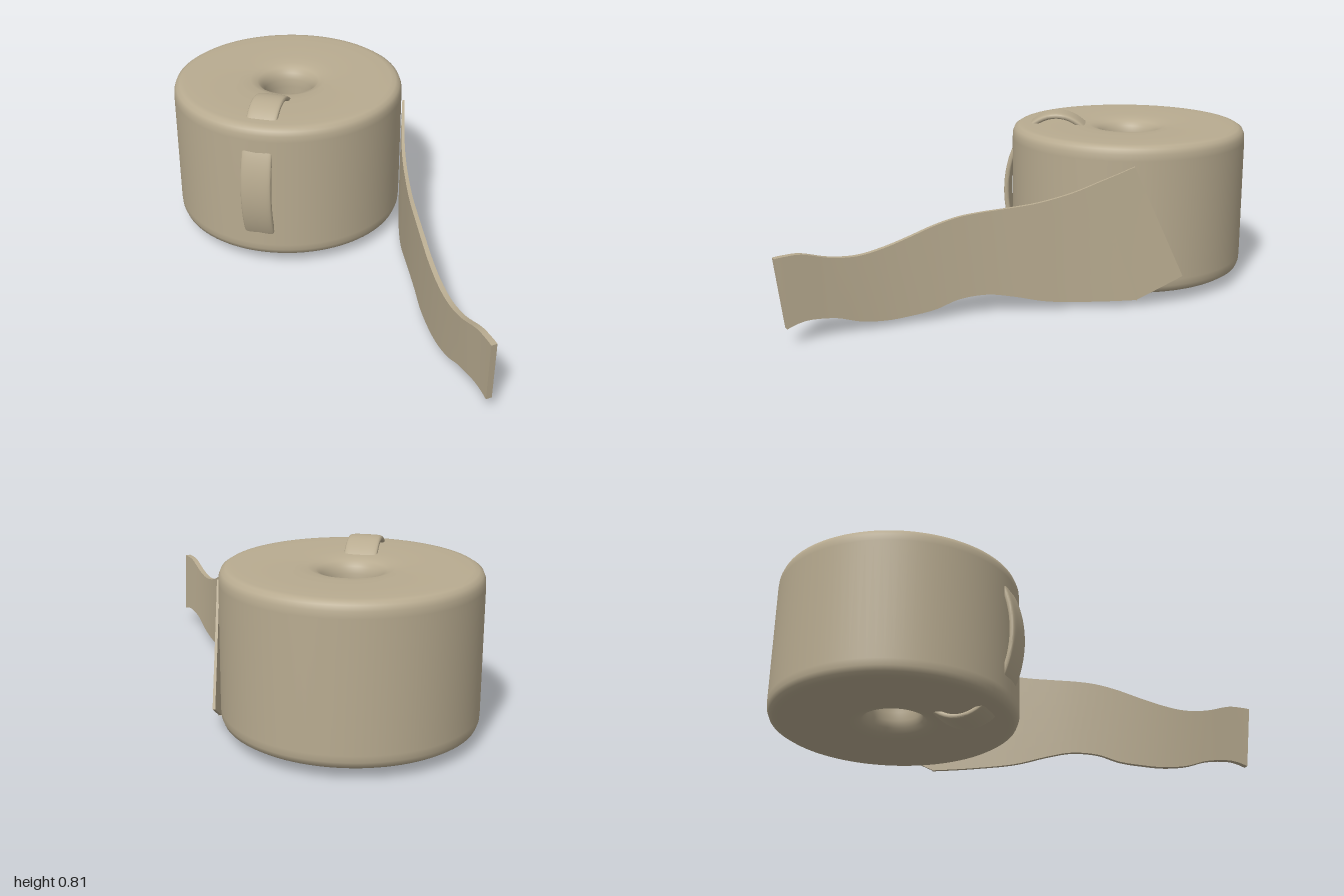
import * as THREE from 'three';
import { toCreasedNormals } from 'three/addons/utils/BufferGeometryUtils.js';

// Joins equal-length cross-section loops into a surface; open lofts get caps.
function loft(sections, closed) {
  const n = sections[0].length, m = sections.length;
  const index = [];
  const at = (i, j) => (i % m) * n + (j % n);
  for (let i = 0; i < (closed ? m : m - 1); i++) {
    for (let j = 0; j < n; j++) {
      const a = at(i, j), b = at(i + 1, j), c = at(i + 1, j + 1), d = at(i, j + 1);
      index.push(a, b, d, b, c, d);
    }
  }
  if (!closed) {
    for (let j = 0; j < n / 2 - 1; j++) {
      const k = n - 1 - j;
      index.push(at(0, j), at(0, j + 1), at(0, k), at(0, j + 1), at(0, k - 1), at(0, k));
      const e = m - 1;
      index.push(at(e, j), at(e, k), at(e, j + 1), at(e, j + 1), at(e, k), at(e, k - 1));
    }
  }
  const g = new THREE.BufferGeometry().setFromPoints(sections.flat());
  g.setIndex(index);
  return toCreasedNormals(g, 0.7);
}

export function createModel() {
  const group = new THREE.Group();
  const tan = new THREE.MeshStandardMaterial({ color: 0xb8ab90 });
  tan.name = 'tan';
  const add = (name, geometry) => {
    const mesh = new THREE.Mesh(geometry, tan);
    mesh.name = name;
    group.add(mesh);
    return mesh;
  };

  // Roll: softly rounded drum with a flared centre hole, mirrored top to bottom
  const upper = [
    [0.575, 0.285], [0.573, 0.315], [0.564, 0.338], [0.545, 0.35], [0.52, 0.354], [0.44, 0.355],
    [0.34, 0.353], [0.25, 0.35], [0.19, 0.344], [0.155, 0.333], [0.133, 0.312], [0.122, 0.28], [0.12, 0.24],
  ];
  const lower = upper.map(([r, y]) => [r, -y]).reverse();
  const profile = [[0.12, 0], ...lower, ...upper, [0.12, 0]].map(([r, y]) => new THREE.Vector2(r, y));
  add('roll', new THREE.LatheGeometry(profile, 96)).position.set(-0.335, 0.405, -0.425);

  // Band: oval loop with a rounded flat section, threaded through the hole
  const soft = v => Math.sign(v) * Math.sqrt(Math.abs(v));
  const bandSections = [];
  for (let i = 0; i < 72; i++) {
    const t = (i / 72) * Math.PI * 2, c = Math.cos(t), s = Math.sin(t);
    const rz = 0.252, ry = 0.388;
    const normal = new THREE.Vector2(c / rz, s / ry).normalize();
    const loop = [];
    for (let j = 0; j < 24; j++) {
      const p = ((j + 0.5) / 24) * Math.PI * 2;
      const off = 0.015 * soft(Math.sin(p));
      loop.push(new THREE.Vector3(0.075 * soft(Math.cos(p)), s * ry + normal.y * off, c * rz + normal.x * off));
    }
    bandSections.push(loop);
  }
  add('band', loft(bandSections, true)).position.set(-0.335, 0.408, -0.073);

  // Loose strip: plan curve (x, z) and matching top and bottom edges (zTop, yTop, zBottom, yBottom)
  const plan = new THREE.SplineCurve([
    [0.212, -0.71], [0.255, -0.45], [0.305, -0.2], [0.36, 0], [0.425, 0.2],
    [0.51, 0.4], [0.615, 0.6], [0.745, 0.8], [0.882, 0.98],
  ].map(p => new THREE.Vector2(...p))).getPoints(160);
  const planX = z => {
    let k = 1;
    while (k < plan.length - 1 && plan[k].y < z) k++;
    const a = plan[k - 1], b = plan[k];
    return a.x + (b.x - a.x) * (z - a.y) / (b.y - a.y);
  };
  const edges = [
    [-0.475, 0.67, -0.705, 0.15], [-0.40, 0.637, -0.60, 0.093], [-0.33, 0.608, -0.5, 0.04],
    [-0.32, 0.604, -0.485, 0.037], [-0.2, 0.555, -0.3, 0.035], [-0.05, 0.515, -0.1, 0.045],
    [0.1, 0.495, 0.06, 0.08], [0.2, 0.485, 0.18, 0.10], [0.3, 0.47, 0.3, 0.09],
    [0.4, 0.44, 0.4, 0.055], [0.5, 0.40, 0.5, 0.04], [0.6, 0.365, 0.6, 0.035],
    [0.7, 0.345, 0.7, 0.05], [0.8, 0.355, 0.79, 0.085], [0.9, 0.39, 0.88, 0.1],
    [0.96, 0.393, 0.93, 0.095], [0.995, 0.39, 0.97, 0.08],
  ];
  const edgeCurve = k => new THREE.SplineCurve(edges.map(e => new THREE.Vector2(e[k], e[k + 1])));
  const topEdge = edgeCurve(0), bottomEdge = edgeCurve(2);
  const stripSections = [];
  const steps = 80, rows = 6;
  for (let i = 0; i <= steps; i++) {
    const u = i / steps;
    const top = topEdge.getPoint(u), bottom = bottomEdge.getPoint(u);
    const half = 0.006 + 0.008 * u;
    const outer = [], inner = [];
    for (let j = 0; j <= rows; j++) {
      const v = j / rows;
      const p = top.clone().lerp(bottom, v);
      const slope = (planX(p.x + 0.01) - planX(p.x - 0.01)) / 0.02;
      const n = new THREE.Vector2(1, -slope).normalize();
      const lean = 0.02 * u * (v - 0.5);
      const point = off => new THREE.Vector3(planX(p.x) + n.x * (off + lean), p.y, p.x + n.y * (off + lean));
      outer.push(point(half));
      inner.unshift(point(-half));
    }
    stripSections.push([...outer, ...inner]);
  }
  add('looseStrip', loft(stripSections, false));

  return group;
}
